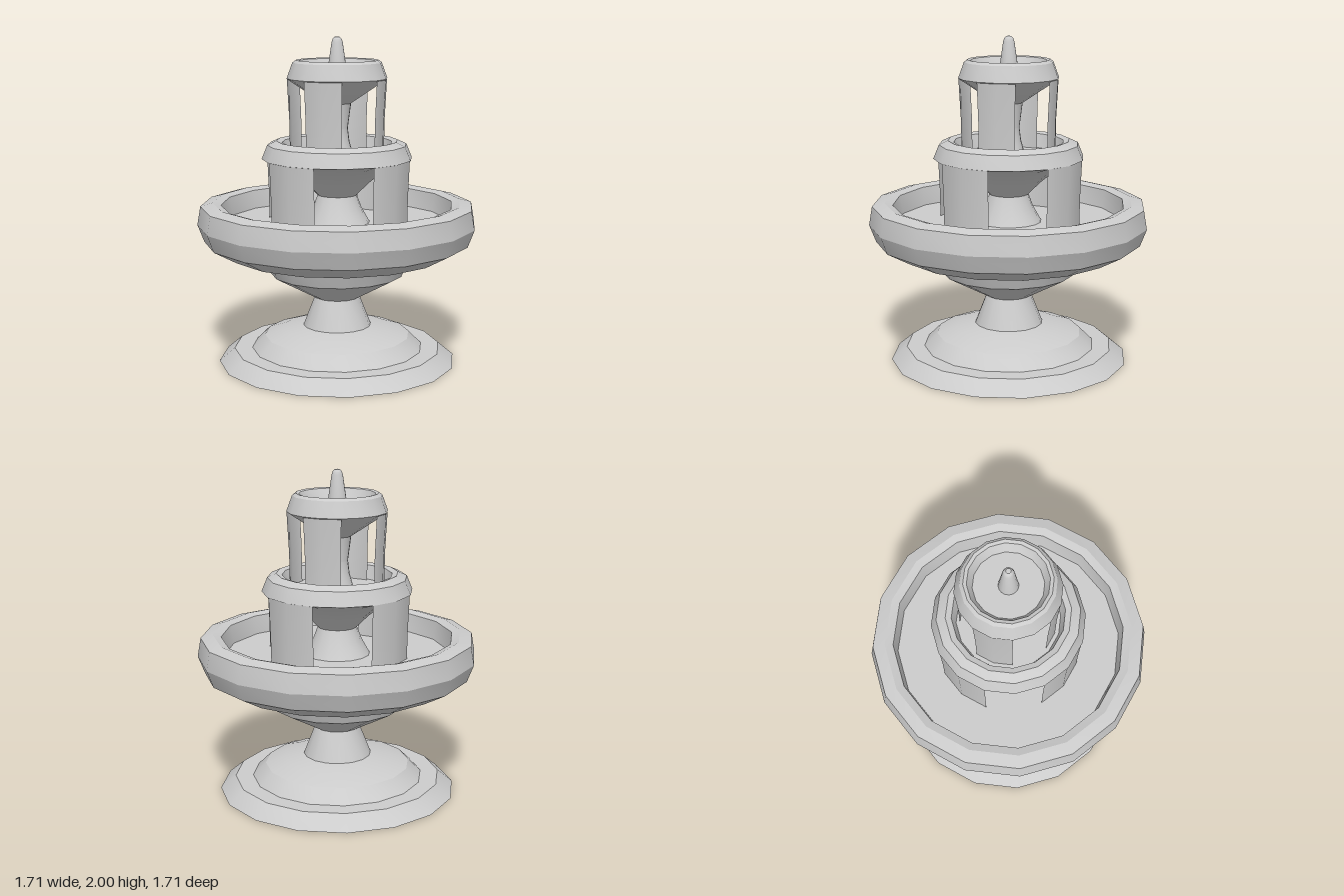
import * as THREE from 'three';
import { toCreasedNormals } from 'three/addons/utils/BufferGeometryUtils.js';

const SIDES = 16;
const stone = new THREE.MeshStandardMaterial({ color: 0xcccccc });
const sheet = new THREE.MeshStandardMaterial({ color: 0xcccccc, side: THREE.DoubleSide });
const toPoints = (profile) => profile.map(([r, y]) => new THREE.Vector2(r, y));

// Solid of revolution; the profile runs from the bottom, around the outside, to the top
function turned(name, profile, sides = SIDES) {
  const geometry = toCreasedNormals(new THREE.LatheGeometry(toPoints(profile), sides), 0.45);
  const mesh = new THREE.Mesh(geometry, stone);
  mesh.name = name;
  return mesh;
}

// Four curved sheets of falling water, each an eighth of a turn wide
function waterSheets(name, profile, startAngle) {
  const group = new THREE.Group();
  group.name = name;
  for (let i = 0; i < 4; i++) {
    const geometry = new THREE.LatheGeometry(
      toPoints(profile), 2, startAngle + i * Math.PI / 2, Math.PI / 4);
    const mesh = new THREE.Mesh(geometry, sheet);
    mesh.name = 'waterSheet';
    group.add(mesh);
  }
  return group;
}

export function createModel() {
  const fountain = new THREE.Group();
  fountain.name = 'fountain';

  // Stepped foot and flared stem
  fountain.add(turned('pedestal', [
    [0, 0], [0.735, 0], [0.64, 0.08], [0.53, 0.08], [0.45, 0.16],
    [0.33, 0.2], [0.21, 0.22], [0.14, 0.4],
  ]));

  // Large basin with its cup-shaped underside, rim and floor
  fountain.add(turned('lowerBasin', [
    [0, 0.4], [0.14, 0.4], [0.41, 0.55], [0.445, 0.64], [0.67, 0.68],
    [0.815, 0.76], [0.855, 0.865], [0.835, 0.98], [0.76, 1.0],
    [0.71, 0.985], [0.69, 0.87], [0, 0.87],
  ]));

  // Middle tier
  fountain.add(turned('middleStem', [[0.2, 0.87], [0.15, 0.96], [0.12, 1.04]]));
  fountain.add(turned('middleBowl', [
    [0, 1.04], [0.12, 1.04], [0.2, 1.12], [0.32, 1.22], [0.46, 1.265],
    [0.425, 1.35], [0.37, 1.375], [0.335, 1.365], [0.31, 1.28], [0, 1.28],
  ]));
  fountain.add(waterSheets('middleWater', [[0.443, 0.87], [0.446, 1.05], [0.455, 1.265]], 0));

  // Top tier
  fountain.add(turned('upperStem', [[0.1, 1.28], [0.075, 1.37], [0.065, 1.45], [0.085, 1.6]]));
  fountain.add(turned('upperBowl', [
    [0, 1.6], [0.085, 1.6], [0.3, 1.745], [0.305, 1.75], [0.27, 1.845],
    [0.25, 1.86], [0.23, 1.855], [0.2, 1.8], [0, 1.8],
  ]));
  fountain.add(waterSheets('upperWater', [[0.287, 1.28], [0.29, 1.5], [0.303, 1.745]], Math.PI / 8));

  // Rounded spout on top
  fountain.add(turned('spout', [
    [0.058, 1.8], [0.034, 1.965], [0.027, 1.985], [0.015, 1.997], [0, 2],
  ]));

  return fountain;
}
